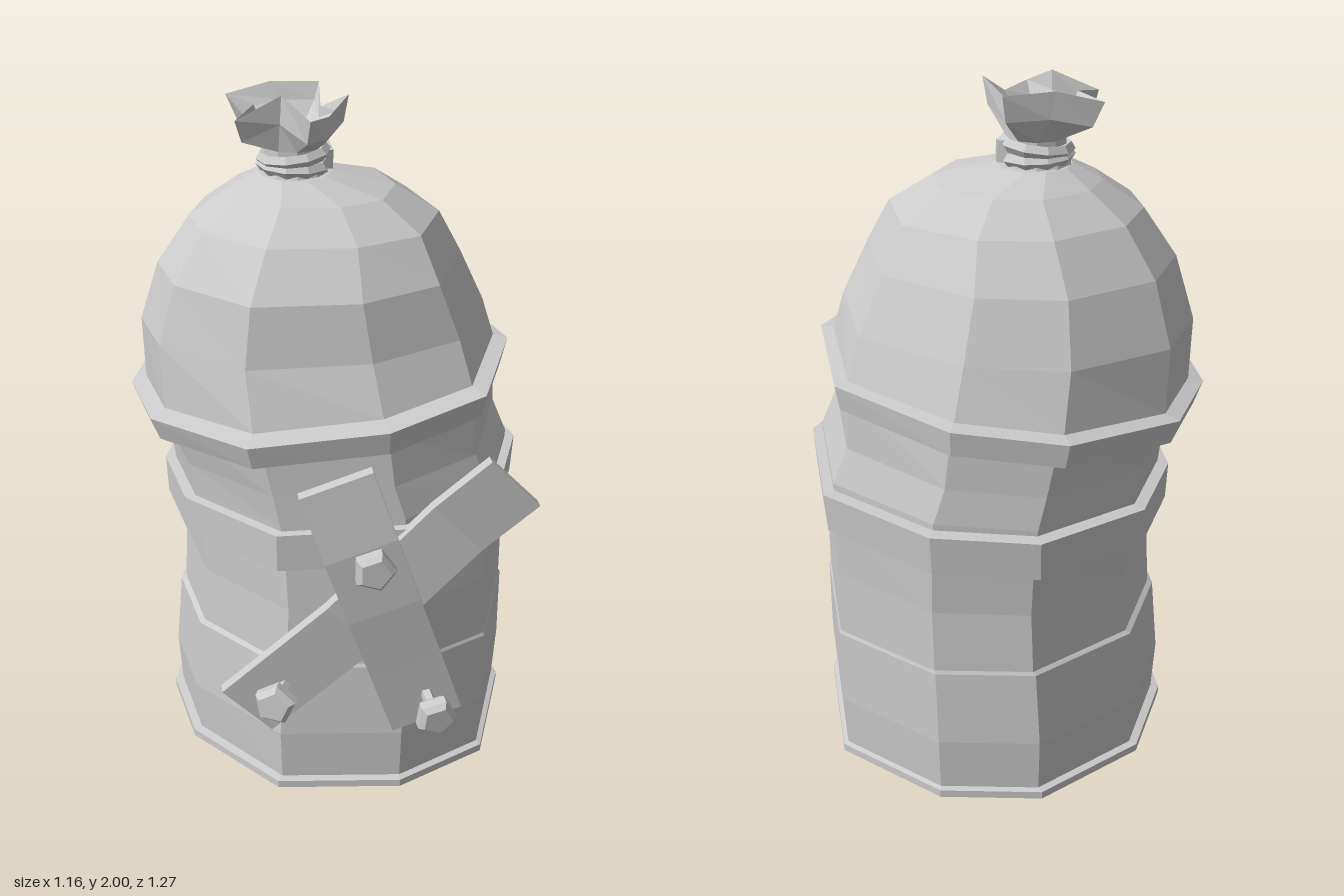
import * as THREE from 'three';

const material = new THREE.MeshStandardMaterial({ color: 0xcccccc, flatShading: true, side: THREE.DoubleSide });

// Uneven ten-sided outline shared by the barrel, hoop and lid (unit x, z)
const OUTLINE = [[1, 0.11], [0.75, 0.76], [0.23, 1], [-0.46, 0.93], [-0.91, 0.43],
  [-1, -0.06], [-0.84, -0.59], [-0.3, -1], [0.26, -1], [0.84, -0.63]];

// Ring fitted to x and z extents, tilted sideways by slope
function ring([y, x0, x1, z0, z1, slope = 0]) {
  const cx = (x0 + x1) / 2, cz = (z0 + z1) / 2;
  return OUTLINE.map(([u, v]) => {
    const dx = u * (x1 - x0) / 2;
    return new THREE.Vector3(cx + dx, y + slope * dx, cz + v * (z1 - z0) / 2);
  });
}

// Skin between successive rings of points
function loft(rings) {
  const n = rings[0].length, pos = [], idx = [];
  rings.forEach(r => r.forEach(p => pos.push(p.x, p.y, p.z)));
  for (let i = 0; i < rings.length - 1; i++) {
    for (let j = 0; j < n; j++) {
      const a = i * n + j, b = i * n + (j + 1) % n, c = b + n, d = a + n;
      idx.push(a, d, c, a, c, b);
    }
  }
  const g = new THREE.BufferGeometry();
  g.setAttribute('position', new THREE.Float32BufferAttribute(pos, 3));
  g.setIndex(idx);
  g.computeVertexNormals();
  return g;
}

function mesh(name, geometry, parent) {
  const m = new THREE.Mesh(geometry, material);
  m.name = name;
  parent.add(m);
  return m;
}

// Board running along y, its front face bent through the given depths
function plank(name, parent, width, length, x, y, angle, depths) {
  const n = depths.length - 1, thick = 0.035;
  const g = new THREE.BoxGeometry(width, length, thick, 1, n, 1);
  const p = g.attributes.position;
  for (let i = 0; i < p.count; i++) {
    const k = Math.round((p.getY(i) / length + 0.5) * n);
    p.setZ(i, p.getZ(i) - thick / 2 + depths[k]);
  }
  const m = mesh(name, g, parent);
  m.position.set(x, y, 0);
  m.rotation.z = angle;
}

// Nail with a flared shank and a chamfered five-sided head
function nail(parent, x, y, z, rx, ry, rz) {
  const profile = [[0, -0.13], [0.018, -0.13], [0.018, -0.06], [0.03, -0.035], [0.052, -0.03],
    [0.062, -0.018], [0.062, 0.008], [0.046, 0.025], [0, 0.025]];
  const g = new THREE.LatheGeometry(profile.map(p => new THREE.Vector2(...p)), 5);
  g.rotateX(Math.PI / 2);
  g.rotateZ(rz);
  const m = mesh('nail', g, parent);
  m.position.set(x, y, z);
  m.rotation.set(rx, ry, 0);
}

export function createModel() {
  const model = new THREE.Group();
  model.name = 'barrel';

  // Barrel with a foot lip, a mid seam and a pinched neck
  mesh('barrelBody', loft([
    [0.005, 0.03, 0.03, -0.07, -0.07],
    [0.005, -0.48, 0.55, -0.62, 0.49],
    [0.012, -0.495, 0.56, -0.63, 0.5],
    [0.035, -0.495, 0.56, -0.63, 0.5],
    [0.04, -0.47, 0.545, -0.615, 0.48],
    [0.2, -0.48, 0.555, -0.62, 0.485],
    [0.425, -0.46, 0.555, -0.605, 0.47],
    [0.435, -0.445, 0.55, -0.6, 0.465],
    [0.62, -0.435, 0.55, -0.592, 0.455, 0.02],
    [0.8, -0.445, 0.55, -0.6, 0.445, 0.05],
    [0.9, -0.46, 0.55, -0.6, 0.44, 0.06],
    [1.0, -0.47, 0.505, -0.59, 0.435, 0.08],
    [1.15, -0.51, 0.5, -0.585, 0.43, 0.11],
  ].map(ring)), model);

  // Slanted hoop around the middle
  mesh('hoop', loft([
    [0.775, -0.43, 0.54, -0.59, 0.43, 0.05],
    [0.765, -0.485, 0.572, -0.63, 0.46, 0.05],
    [0.88, -0.49, 0.58, -0.637, 0.462, 0.05],
    [0.885, -0.44, 0.54, -0.59, 0.43, 0.05],
  ].map(ring)), model);

  // Domed lid with a heavy tilted rim
  mesh('lid', loft([
    [1.115, -0.48, 0.47, -0.56, 0.41, 0.11],
    [1.11, -0.555, 0.525, -0.615, 0.455, 0.11],
    [1.18, -0.58, 0.54, -0.622, 0.47, 0.11],
    [1.19, -0.535, 0.5, -0.58, 0.4, 0.11],
    [1.34, -0.54, 0.465, -0.535, 0.345, 0.04],
    [1.51, -0.485, 0.39, -0.47, 0.32, 0.02],
    [1.64, -0.39, 0.325, -0.385, 0.235],
    [1.72, -0.275, 0.2, -0.29, 0.13],
    [1.765, -0.19, 0.02, -0.19, 0.03],
    [1.77, -0.09, -0.09, -0.08, -0.08],
  ].map(ring)), model);

  // Gathered sack top: a neck opening into five folded points
  const rim = [[0.06, 1.99, -0.03], [0, 1.94, 0.01], [-0.06, 1.95, 0.09], [-0.13, 2, 0],
    [-0.26, 1.94, 0.02], [-0.2, 1.96, -0.07], [-0.27, 1.96, -0.19], [-0.14, 1.99, -0.2],
    [0, 1.98, -0.22], [-0.01, 1.94, -0.1]].map(p => new THREE.Vector3(...p));
  const neck = (y, r) => rim.map((_, i) => {
    const t = i * Math.PI / 5 + 0.3;
    return new THREE.Vector3(-0.09 + r * Math.cos(t), y, -0.08 + r * Math.sin(t));
  });
  const blend = (y, r, t, drop = 0) => neck(y, r).map((p, i) => {
    p.lerp(rim[i], t);
    p.y -= drop;
    return p;
  });
  mesh('sackTop', loft([
    neck(1.74, 0.11), neck(1.8, 0.085), neck(1.84, 0.085),
    blend(1.84, 0.1, 0.75, 0.04), rim,
    blend(1.85, 0.07, 0.65), blend(1.86, 0.04, 0.15), neck(1.86, 0),
  ]), model);

  // Two turns of cord and its knot
  for (const [y, tilt] of [[1.785, -0.04], [1.815, 0.12]]) {
    const cord = mesh('cord', new THREE.TorusGeometry(0.088, 0.02, 5, 10), model);
    cord.position.set(-0.09, y, -0.08);
    cord.rotation.set(Math.PI / 2, tilt, 0);
  }
  const knot = mesh('knot', new THREE.BoxGeometry(0.035, 0.06, 0.06), model);
  knot.position.set(0.002, 1.8, -0.1);
  knot.rotation.set(0.2, 0.1, 0);

  // Crossed planks nailed to the front
  const planks = new THREE.Group();
  planks.name = 'planks';
  model.add(planks);
  plank('rearPlank', planks, 0.205, 1.05, 0.08, 0.665, -0.802, [0.455, 0.478, 0.5, 0.487, 0.475, 0.5]);
  plank('frontPlank', planks, 0.215, 0.86, 0.0925, 0.66, 0.325, [0.495, 0.512, 0.53, 0.535, 0.515]);
  nail(planks, 0.05, 0.845, 0.6, 0, 0, 0.3);
  nail(planks, -0.225, 0.405, 0.57, -0.1, -0.35, 0.5);
  nail(planks, 0.235, 0.34, 0.6, 0.1, 0.1, 0.2);

  return model;
}
